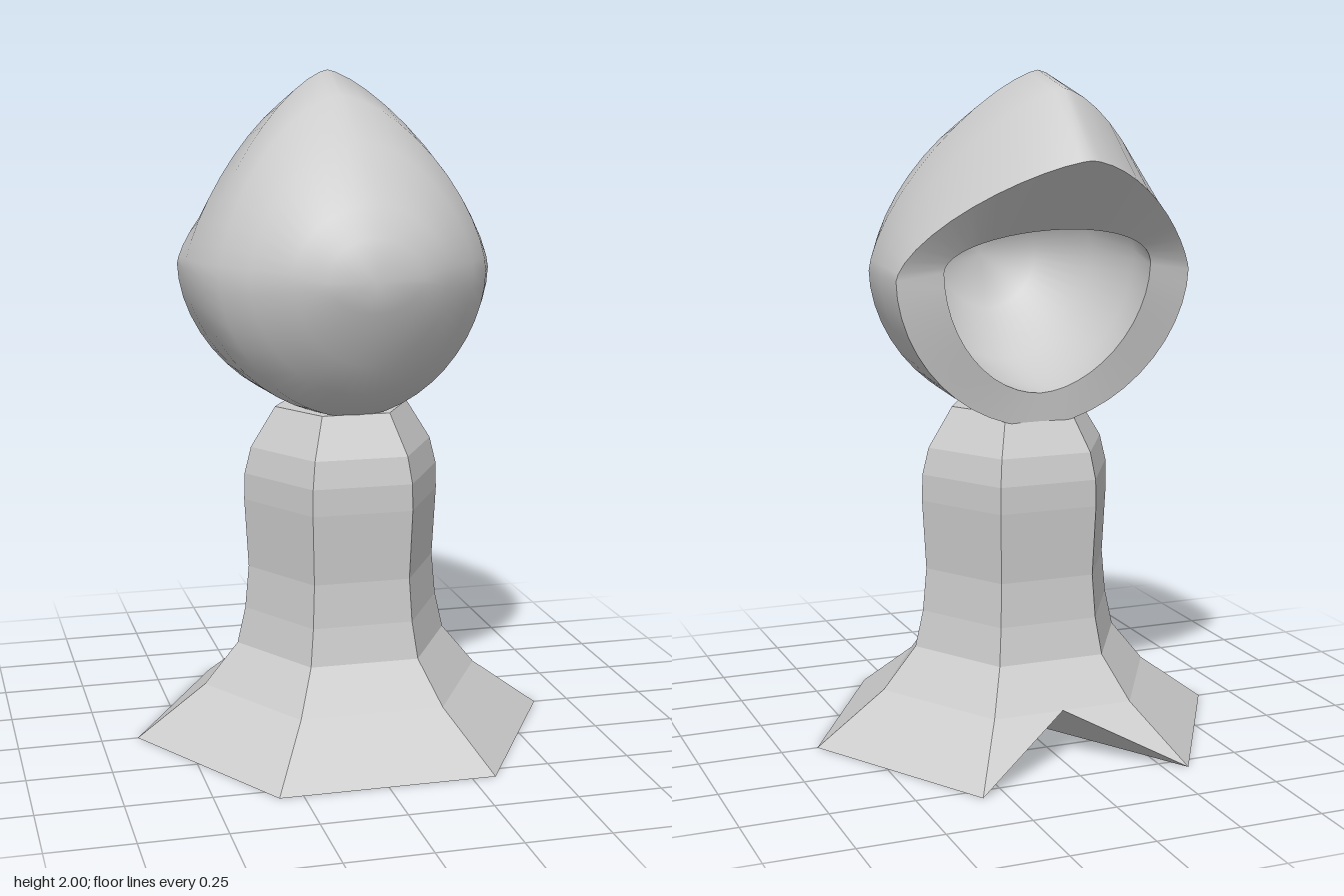
import * as THREE from 'three';
import { mergeVertices } from 'three/addons/utils/BufferGeometryUtils.js';

// Skin a list of closed loops; flip(j) picks the other diagonal of column j
function loft(rings, flip = () => false) {
  const n = rings[0].length, index = [];
  for (let i = 0; i < rings.length - 1; i++) {
    for (let j = 0; j < n; j++) {
      const a = i * n + j, b = i * n + (j + 1) % n, d = a + n, c = b + n;
      if (flip(j)) index.push(a, d, c, a, c, b);
      else index.push(a, d, b, b, d, c);
    }
  }
  const g = new THREE.BufferGeometry();
  g.setAttribute('position', new THREE.Float32BufferAttribute(rings.flat(2), 3));
  g.setIndex(index);
  return g;
}

// Loop of the hood: superellipse quarters through a top, side and bottom point
function hoodRing([zTop, yTop, xSide, ySide, zSide, zBottom, yBottom, pTop], n = 48) {
  return Array.from({ length: n }, (_, j) => {
    const t = (j / n) * Math.PI * 2, c = Math.cos(t), s = Math.sin(t);
    const up = s > 0, p = up ? pTop : 1.85;
    const x = Math.sign(c) * Math.abs(c) ** (2 / p) * xSide;
    const f = Math.abs(s) ** (2 / p);
    const y = THREE.MathUtils.lerp(ySide, up ? yTop : yBottom, f);
    const z = THREE.MathUtils.lerp(zSide, up ? zTop : zBottom, f ** 1.6);
    return [x, y, z];
  });
}

export function createModel() {
  const group = new THREE.Group();
  const smooth = new THREE.MeshStandardMaterial({ color: 0xcccccc, side: THREE.DoubleSide });
  const faceted = new THREE.MeshStandardMaterial({ color: 0xcccccc, flatShading: true });
  const add = (name, geometry, material) => {
    const mesh = new THREE.Mesh(geometry, material);
    mesh.name = name;
    group.add(mesh);
  };

  // Hexagonal stand: [radius, height], with an extra point mid-way along the back
  const profile = [[0, 0], [0.64, 0], [0.43, 0.155], [0.327, 0.28], [0.302, 0.39], [0.29, 0.52],
    [0.302, 0.73], [0.3, 0.81], [0.28, 0.89], [0.205, 1.01], [0, 1.01]];
  const standRings = profile.map(([r, y]) =>
    [0, 60, 120, 180, 240, 270, 300].map((deg) => {
      const a = THREE.MathUtils.degToRad(deg);
      // the back midpoint of the foot is pulled in to the centre, cutting a notch
      const k = deg === 270 ? (y === 0 ? 0 : r * Math.cos(Math.PI / 6)) : r;
      return [k * Math.cos(a), y, k * Math.sin(a)];
    }));
  const stand = loft(standRings, (j) => j === 4).toNonIndexed();
  stand.computeVertexNormals();
  add('stand', stand, faceted);

  // Hood stations from the front pole to the rim:
  // zTop, yTop, xSide, ySide, zSide, zBottom, yBottom, roundness of the top
  const outer = [
    [0.42, 1.43, 0, 1.43, 0.42, 0.42, 1.43, 2],
    [0.4, 1.55, 0.14, 1.43, 0.4, 0.4, 1.34, 2],
    [0.34, 1.64, 0.23, 1.43, 0.35, 0.33, 1.18, 1.9],
    [0.18, 1.81, 0.33, 1.42, 0.26, 0.25, 1.08, 1.75],
    [0, 1.93, 0.4, 1.42, 0.16, 0.17, 1.0, 1.6],
    [-0.17, 2.0, 0.44, 1.42, 0.06, 0.05, 0.985, 1.42],
    [-0.36, 1.95, 0.455, 1.42, -0.1, -0.08, 0.98, 1.42],
    [-0.555, 1.76, 0.455, 1.42, -0.24, -0.19, 0.97, 1.45],
  ];
  const opening = [-0.36, 1.56, 0.32, 1.44, -0.26, -0.2, 1.07, 2];
  const inner = [
    opening,
    [-0.2, 1.68, 0.34, 1.44, -0.1, -0.08, 1.08, 2],
    [0.06, 1.69, 0.29, 1.43, 0.1, 0.08, 1.13, 2],
    [0.22, 1.57, 0.16, 1.43, 0.24, 0.22, 1.27, 2],
    [0.3, 1.43, 0, 1.43, 0.3, 0.3, 1.43, 2],
  ];
  const parts = { hoodShell: outer, hoodLip: [outer.at(-1), opening], hoodCavity: inner };
  for (const [name, stations] of Object.entries(parts)) {
    const g = mergeVertices(loft(stations.map((s) => hoodRing(s))), 1e-4);
    g.computeVertexNormals();
    add(name, g, smooth);
  }
  return group;
}
